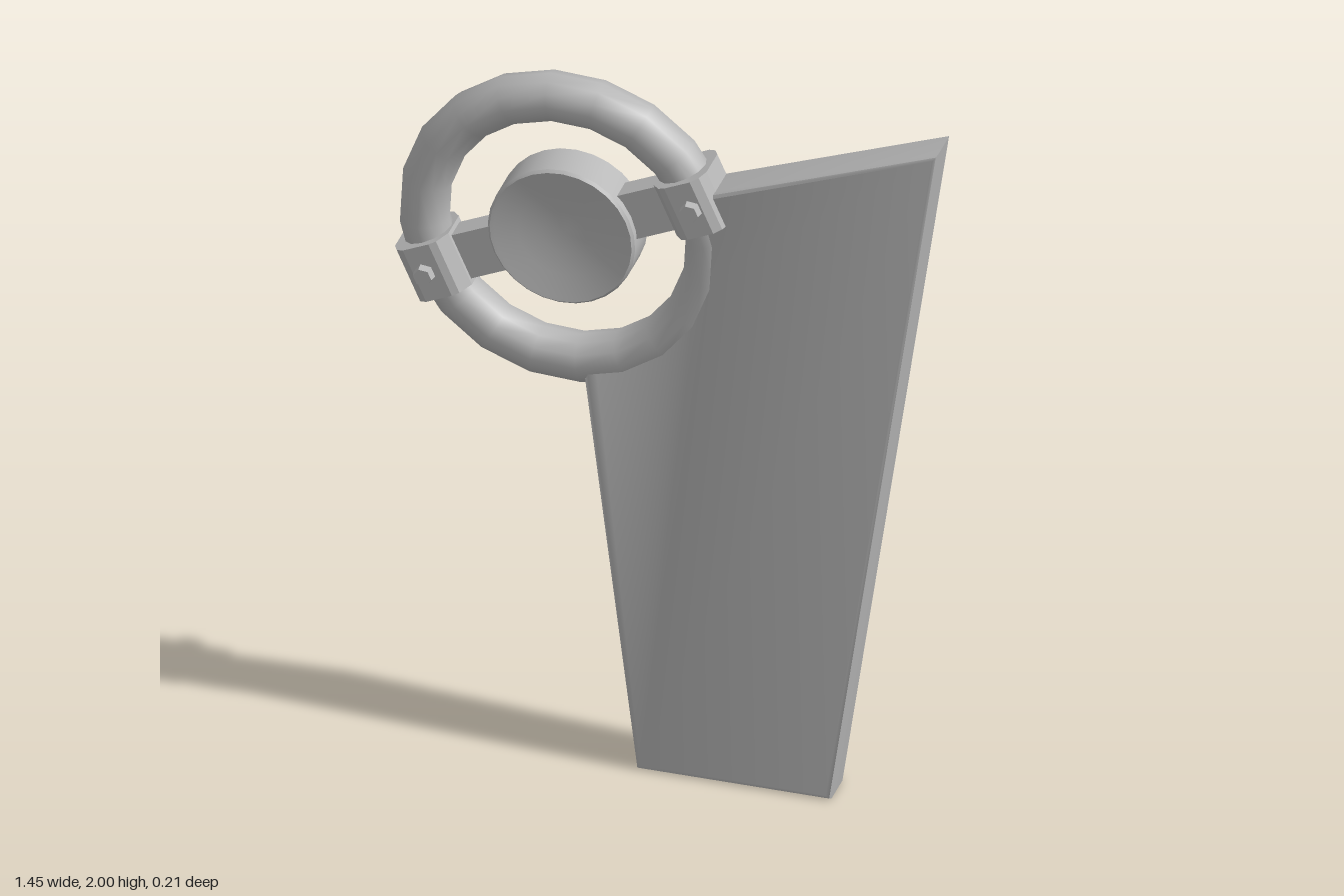
import * as THREE from 'three';
import { toCreasedNormals } from 'three/addons/utils/BufferGeometryUtils.js';

const CX = -0.28, CY = 1.55;          // centre of the ring
const TILT = Math.atan2(0.32, 0.72);  // slope of the spokes

export function createModel() {
  const model = new THREE.Group();
  const grey = new THREE.MeshStandardMaterial({ color: 0xb8b8b8 });
  grey.name = 'plain grey';

  const add = (parent, name, geometry) => {
    const mesh = new THREE.Mesh(geometry, grey);
    mesh.name = name;
    parent.add(mesh);
    return mesh;
  };

  // Tapered blade with a round bite where the ring sits
  const outline = new THREE.Shape();
  outline.moveTo(-0.08, 0);
  outline.lineTo(0.44, 0);
  outline.lineTo(0.725, 1.97);
  outline.lineTo(0.07, 1.73);
  outline.absarc(CX, CY, 0.385, 0.474, -1.425, true);
  outline.closePath();
  const bevel = 0.014;
  const blade = new THREE.ExtrudeGeometry(outline, {
    depth: 0.12 - 2 * bevel, bevelThickness: bevel, bevelSize: bevel,
    bevelOffset: -bevel, bevelSegments: 2, curveSegments: 10,
  });
  blade.translate(0, 0, -0.06 + bevel);
  add(model, 'blade', toCreasedNormals(blade, 0.6));

  // Everything on the ring is built around its own centre
  const wheel = new THREE.Group();
  wheel.name = 'wheel';
  wheel.position.set(CX, CY, 0);
  wheel.rotation.z = TILT;
  model.add(wheel);

  add(wheel, 'ring', new THREE.TorusGeometry(0.384, 0.066, 12, 20));

  // Hub with a dished face on both sides
  const hubProfile = [
    [0, -0.035], [0.06, -0.038], [0.12, -0.046], [0.18, -0.06], [0.19, -0.062], [0.197, -0.054],
    [0.197, 0.054], [0.19, 0.062], [0.18, 0.06], [0.12, 0.046], [0.06, 0.038], [0, 0.035],
  ].map(([r, y]) => new THREE.Vector2(r, y));
  const hub = new THREE.LatheGeometry(hubProfile, 28);
  hub.rotateX(Math.PI / 2);
  add(wheel, 'hub', toCreasedNormals(hub, 0.7));

  // A prism from a half profile of [radius, half depth] points
  const prism = (half, width) => {
    const lower = half.map(([r, z]) => new THREE.Vector2(r, -z));
    const upper = half.map(([r, z]) => new THREE.Vector2(r, z)).reverse();
    const geometry = new THREE.ExtrudeGeometry(new THREE.Shape([...lower, ...upper]),
      { depth: width, bevelEnabled: false });
    geometry.translate(0, 0, -width / 2);
    geometry.rotateX(Math.PI / 2);
    return geometry;
  };

  // Spoke, clamp and bolts on each side of the hub
  for (const [side, turn] of [['left', 0], ['right', Math.PI]]) {
    const arm = new THREE.Group();
    arm.name = side + 'Arm';
    arm.rotation.z = turn;
    wheel.add(arm);

    add(arm, 'spoke', prism([[0.15, 0.035], [0.34, 0.035]], 0.13));
    add(arm, 'clamp', prism(
      [[0.3, 0.045], [0.325, 0.078], [0.345, 0.085], [0.42, 0.085], [0.442, 0.072], [0.456, 0.045]], 0.155));

    for (const z of [1, -1]) {
      const bolt = new THREE.CylinderGeometry(0.025, 0.03, 0.03, 6);
      bolt.rotateX(z * Math.PI / 2);
      add(arm, 'bolt', toCreasedNormals(bolt, 0.5)).position.set(0.39, 0, z * 0.092);
    }
  }

  return model;
}
